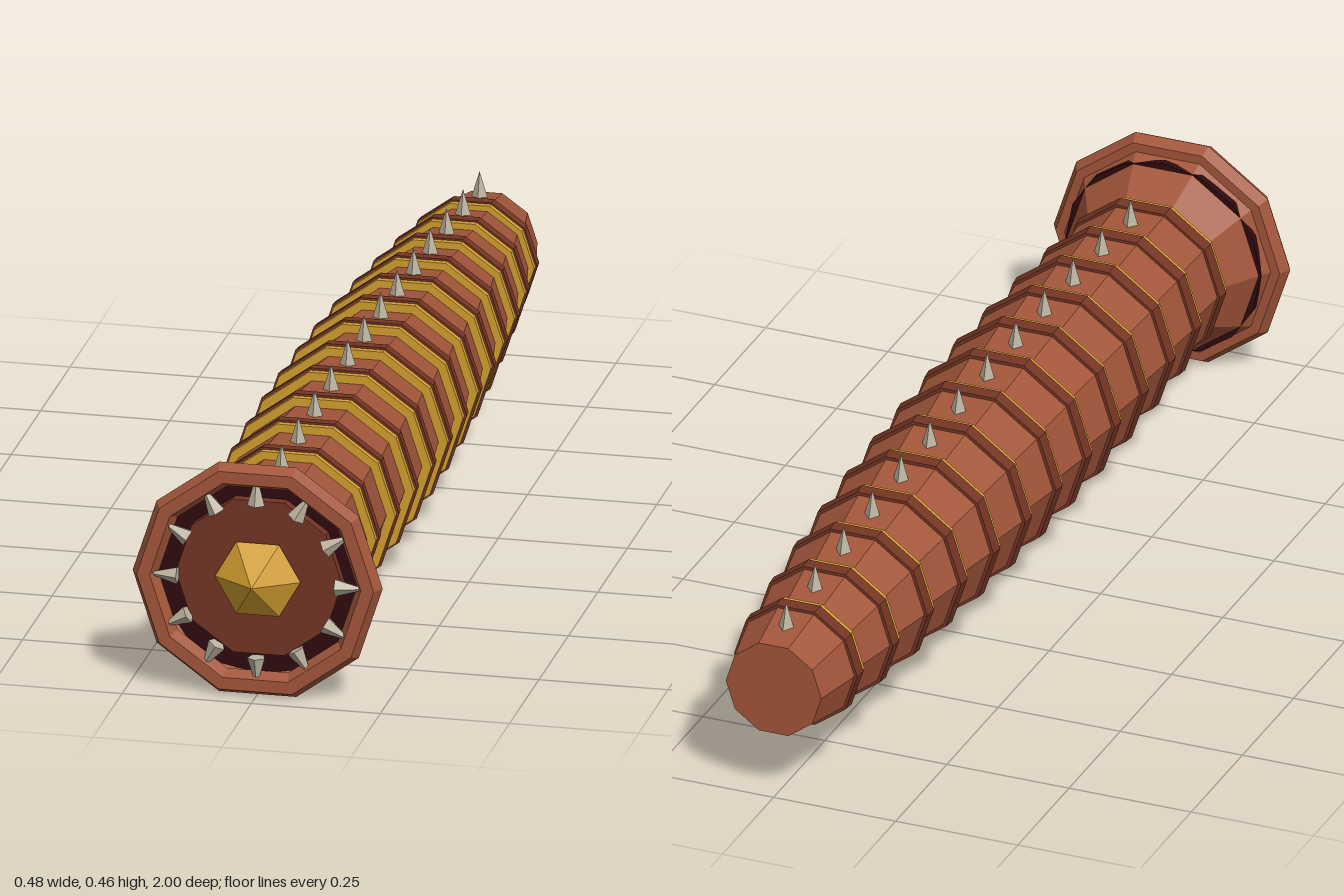
import * as THREE from 'three';

const AXIS_Y = 0.232;
const SIDES = 10;
const SEGMENTS = 13;
const STEP = 0.14;
const FIRST_Z = 0.82;

function makeMaterial(name, color, side = THREE.FrontSide) {
  const m = new THREE.MeshStandardMaterial({ color, flatShading: true, side });
  m.name = name;
  return m;
}

// Frustum lying along z, with a corner on +x
function frustum(rFront, rBack, zFront, zBack, sides = SIDES, open = false) {
  const g = new THREE.CylinderGeometry(rFront, rBack, zFront - zBack, sides, 1, open, Math.PI / 2);
  g.rotateX(Math.PI / 2);
  g.translate(0, 0, (zFront + zBack) / 2);
  return g;
}

// Body swells slightly ahead of the middle and thins to the tail
const ringRadius = (z) => 0.184 - 0.051 * (z - 0.2) ** 2;

export function createModel() {
  const model = new THREE.Group();
  model.name = 'segmentedWorm';
  const worm = new THREE.Group();
  worm.name = 'worm';
  worm.position.y = AXIS_Y;
  model.add(worm);

  const skin = makeMaterial('skin', 0xa3563a, THREE.DoubleSide);
  const darkSkin = makeMaterial('darkSkin', 0x743524);
  const gold = makeMaterial('gold', 0xd4a030);
  const maw = makeMaterial('maw', 0x2e0a0f);
  const bone = makeMaterial('bone', 0xbdb4a0);

  function add(name, geometry, material, parent = worm) {
    const mesh = new THREE.Mesh(geometry, material);
    mesh.name = name;
    parent.add(mesh);
    return mesh;
  }

  // Body segments: gold trim, dark band, tapered shell and a back spike
  for (let i = 0; i < SEGMENTS; i++) {
    const z = FIRST_Z - i * STEP;
    const r = ringRadius(z);
    const rBack = ringRadius(z - STEP) * 0.885;
    const zBack = Math.max(z - STEP, -1);
    const segment = new THREE.Group();
    segment.name = `segment${i + 1}`;
    worm.add(segment);

    add('goldTrim', frustum(r * 0.985, r * 0.985, z + 0.006, z - 0.006), gold, segment);
    add('darkBand', frustum(r * 1.01, r * 0.995, z - 0.006, z - 0.032), darkSkin, segment);
    add('shell', frustum(r * 0.97, rBack, z - 0.02, zBack), skin, segment);

    const spikeZ = z - 0.078;
    const surface = ((r * 0.97 + rBack) / 2) * Math.cos(Math.PI / SIDES);
    const spike = add('backSpike', new THREE.ConeGeometry(0.018, 0.06, 4), bone, segment);
    spike.position.set(0, surface + 0.022, spikeZ);
  }

  // Flared head with a chunky lip
  add('headFlare', frustum(0.215, 0.147, 0.93, FIRST_Z, SIDES, true), skin);
  const lip = add('lip', new THREE.TorusGeometry(0.217, 0.025, 6, SIDES), skin);
  lip.position.z = 0.945;

  // Mouth interior
  add('mouthLining', frustum(0.2, 0.2, 0.915, 0.9, 16), maw);
  add('mouthPlate', frustum(0.161, 0.161, 0.935, 0.9), darkSkin);
  add('mouthGem', frustum(0, 0.083, 1, 0.945, 6), gold);

  // Ring of teeth around the mouth
  for (let i = 0; i < 12; i++) {
    const a = (i * Math.PI) / 6;
    const tooth = add('tooth', new THREE.ConeGeometry(0.018, 0.06, 5), bone);
    tooth.position.set(Math.cos(a) * 0.183, Math.sin(a) * 0.183, 0.955);
    tooth.rotation.z = a - Math.PI / 2;
  }

  return model;
}
